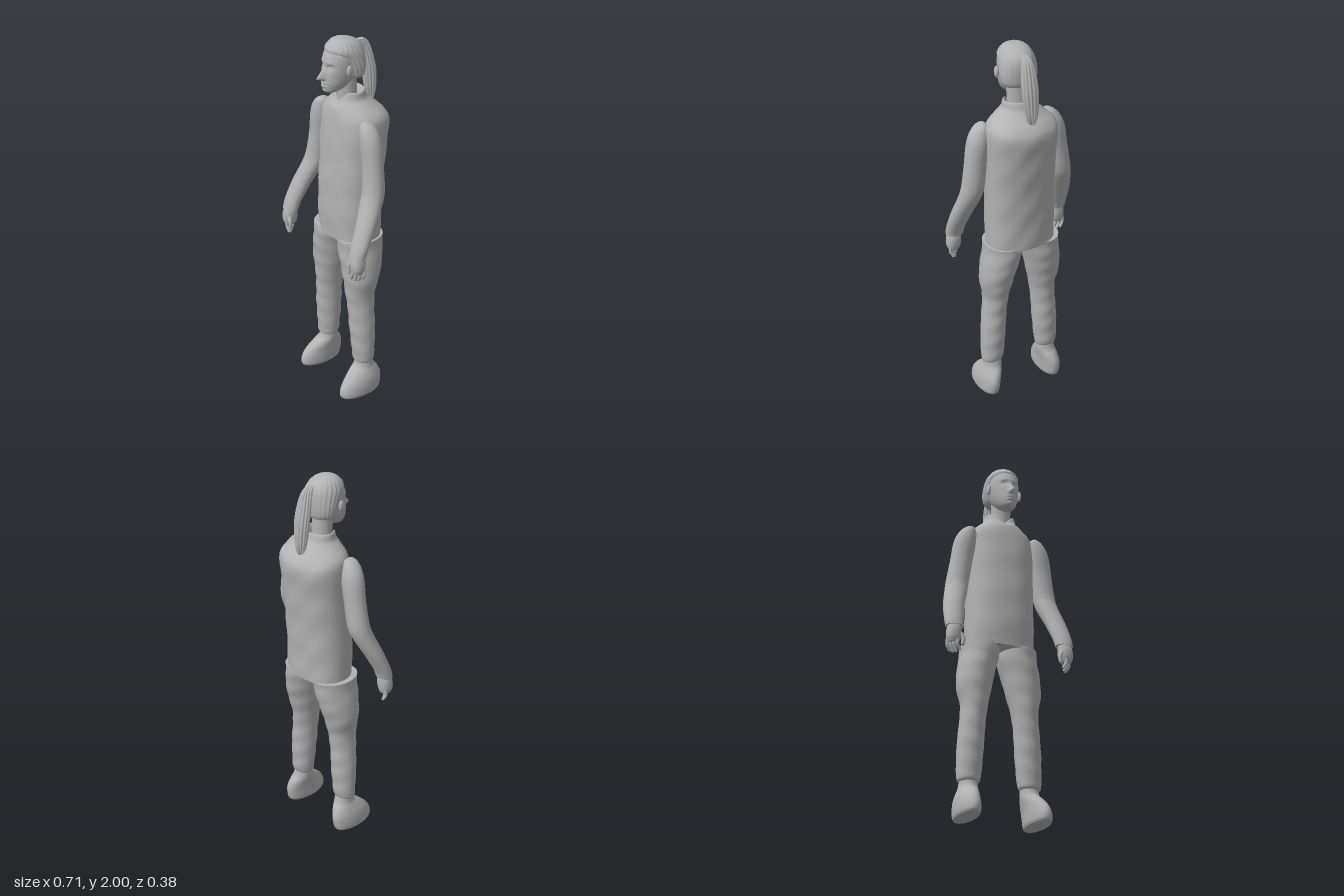
import * as THREE from 'three';

const grey = new THREE.MeshStandardMaterial({ color: 0xb2b2b2, side: THREE.DoubleSide });
grey.name = 'plain grey';

// Smooth loft through horizontal sections [y, centreX, zBack, zFront, halfWidth, squareness = 2].
// deform(vertex, angle) may move each vertex; ends are capped flat.
function loft(sections, { segs = 32, steps = 5, deform = null } = {}) {
  const rows = [];
  const n = sections.length;
  const at = (i, k) => sections[Math.min(n - 1, Math.max(0, i))][k] ?? 2;
  for (let i = 0; i < n - 1; i++) {
    for (let s = 0; s < steps + (i === n - 2 ? 1 : 0); s++) {
      const t = s / steps;
      rows.push([0, 1, 2, 3, 4, 5].map((k) => {
        const a = at(i, k), b = at(i + 1, k);
        const m0 = (b - at(i - 1, k)) / 2, m1 = (at(i + 2, k) - a) / 2;
        const t2 = t * t, t3 = t2 * t;
        return (2 * t3 - 3 * t2 + 1) * a + (t3 - 2 * t2 + t) * m0
          + (3 * t2 - 2 * t3) * b + (t3 - t2) * m1;
      }));
    }
  }
  const pos = [], idx = [];
  const power = (v, e) => Math.sign(v) * Math.abs(v) ** (2 / e);
  const ring = ([y, cx, zb, zf, rx, e]) => {
    for (let j = 0; j < segs; j++) {
      const a = (j / segs) * Math.PI * 2;
      const v = new THREE.Vector3(cx + rx * power(Math.cos(a), e), y,
        (zb + zf) / 2 + ((zf - zb) / 2) * power(Math.sin(a), e));
      if (deform) deform(v, a);
      pos.push(v.x, v.y, v.z);
    }
  };
  rows.forEach(ring);
  for (let i = 0; i < rows.length - 1; i++) {
    for (let j = 0; j < segs; j++) {
      const a = i * segs + j, b = i * segs + ((j + 1) % segs);
      idx.push(a, a + segs, b, b, a + segs, b + segs);
    }
  }
  [rows[0], rows[rows.length - 1]].forEach((row, top) => {
    const start = pos.length / 3;
    ring(row);
    pos.push(row[1], row[0], (row[2] + row[3]) / 2);
    for (let j = 0; j < segs; j++) {
      const a = start + j, b = start + ((j + 1) % segs), c = start + segs;
      if (top) idx.push(a, c, b); else idx.push(a, b, c);
    }
  });
  const g = new THREE.BufferGeometry();
  g.setAttribute('position', new THREE.Float32BufferAttribute(pos, 3));
  g.setIndex(idx);
  g.computeVertexNormals();
  return g;
}

const bell = (d, w) => Math.exp(-((d / w) ** 2));

export function createModel() {
  const model = new THREE.Group();
  const add = (name, geometry, parent = model) => {
    const m = new THREE.Mesh(geometry, grey);
    m.name = name;
    parent.add(m);
    return m;
  };

  // Long top with a notched standing collar, folded inward at the neck
  add('torso', loft([
    [0.92, 0.008, -0.15, 0.115, 0.185, 2.3],
    [1.05, 0.008, -0.155, 0.122, 0.185, 2.3],
    [1.2, 0.01, -0.162, 0.122, 0.183, 2.3],
    [1.4, 0.013, -0.18, 0.112, 0.184, 2.3],
    [1.55, 0.014, -0.195, 0.102, 0.188, 2.3],
    [1.61, 0.014, -0.175, 0.092, 0.176, 2.2],
    [1.655, 0.012, -0.13, 0.078, 0.128],
    [1.685, 0.01, -0.1, 0.064, 0.094],
    [1.72, 0.01, -0.085, 0.054, 0.085],
    [1.718, 0.01, -0.072, 0.046, 0.074],
    [1.67, 0.01, -0.055, 0.045, 0.06],
  ], {
    segs: 48,
    deform: (v) => {
      if (v.z > 0 && v.y > 1.64) v.y -= 0.7 * (v.y - 1.64) * Math.max(0, 1 - Math.abs(v.x - 0.01) / 0.055);
      v.z += 0.003 * Math.sin(v.y * 31 + v.x * 17) * Math.sin(v.x * 24 + 1);
    },
  }));

  add('neck', loft([
    [1.62, 0.01, -0.06, 0.055, 0.06],
    [1.7, 0.01, -0.048, 0.052, 0.052],
    [1.82, 0.01, -0.045, 0.06, 0.055],
  ]));

  // Head with face relief: nose, brow, eyes, lips and chin
  const cx = 0.01;
  add('head', loft([
    [1.732, cx, 0.075, 0.122, 0.02],
    [1.742, cx, 0.04, 0.134, 0.038],
    [1.77, cx, -0.01, 0.143, 0.056],
    [1.81, cx, -0.045, 0.142, 0.07],
    [1.87, cx, -0.065, 0.137, 0.08],
    [1.92, cx, -0.07, 0.128, 0.08],
    [1.96, cx, -0.055, 0.105, 0.069],
    [1.983, cx, -0.025, 0.08, 0.048],
    [1.993, cx, 0.02, 0.045, 0.012],
  ], {
    segs: 96, steps: 8,
    deform: (v) => {
      if (v.z < 0.06) return;
      const x = Math.abs(v.x - cx), y = v.y;
      v.z += 0.036 * bell(x, 0.012) * bell(y - 1.815, y > 1.815 ? 0.034 : 0.011)
        + 0.007 * bell(x, 0.02) * bell(y - 1.814, 0.01)
        - 0.013 * bell(x - 0.032, 0.018) * bell(y - 1.87, 0.014)
        + 0.006 * bell(x - 0.032, 0.01) * bell(y - 1.867, 0.007)
        + 0.004 * bell(x - 0.03, 0.025) * bell(y - 1.893, 0.009)
        + 0.009 * bell(x, 0.02) * bell(y - 1.787, 0.006)
        + 0.008 * bell(x, 0.018) * bell(y - 1.771, 0.006)
        - 0.005 * bell(x, 0.02) * bell(y - 1.779, 0.003)
        + 0.006 * bell(x, 0.02) * bell(y - 1.745, 0.01);
    },
  }));

  // Swept-back hair covering the crown and sides
  add('hair', loft([
    [1.8, cx, -0.07, 0.03, 0.075],
    [1.82, cx, -0.078, 0.038, 0.09],
    [1.86, cx, -0.083, 0.055, 0.097],
    [1.91, cx, -0.084, 0.085, 0.094],
    [1.945, cx, -0.078, 0.118, 0.086],
    [1.975, cx, -0.052, 0.1, 0.068],
    [1.993, cx, -0.012, 0.074, 0.042],
    [2.0, cx, 0.025, 0.045, 0.01],
  ], { segs: 80, deform: (v, a) => { v.x += 0.0025 * Math.sin(a * 22) * Math.cos(a); } }));

  // Bound, ridged ponytail
  add('ponytail', loft([
    [1.61, 0.005, -0.145, -0.135, 0.008],
    [1.64, 0.006, -0.16, -0.128, 0.02],
    [1.7, 0.008, -0.167, -0.114, 0.034],
    [1.8, 0.01, -0.162, -0.1, 0.042],
    [1.89, 0.01, -0.142, -0.086, 0.036],
    [1.945, 0.01, -0.122, -0.07, 0.024],
    [1.968, 0.01, -0.098, -0.05, 0.014],
  ], {
    segs: 64,
    deform: (v, a) => {
      const r = 0.003 * Math.sin(a * 13);
      v.x += r * Math.cos(a);
      v.z += r * Math.sin(a);
    },
  }));
  const tie = add('hairTie', new THREE.TorusGeometry(0.018, 0.007, 8, 20));
  tie.position.set(0.01, 1.947, -0.088);
  tie.rotation.x = 0.6;

  for (const s of [1, -1]) {
    const side = s > 0 ? 'left' : 'right';
    const mirror = (sections) => sections.map(([y, x, ...rest]) =>
      [y, s * x + 0.012 * THREE.MathUtils.smoothstep(y, 1, 1.5), ...rest]);

    const ear = add(side + 'Ear', new THREE.SphereGeometry(1, 16, 12));
    ear.scale.set(0.011, 0.03, 0.017);
    ear.position.set(cx + s * 0.09, 1.855, 0.048);

    // Sleeve, bent forward at the elbow
    add(side + 'Sleeve', loft(mirror([
      [0.95, 0.306, 0.105, 0.183, 0.048],
      [1.0, 0.304, 0.086, 0.17, 0.051],
      [1.1, 0.289, 0.032, 0.132, 0.056],
      [1.2, 0.264, -0.02, 0.092, 0.06],
      [1.27, 0.251, -0.04, 0.07, 0.061],
      [1.4, 0.232, -0.042, 0.062, 0.06],
      [1.5, 0.217, -0.045, 0.066, 0.061],
      [1.56, 0.205, -0.036, 0.064, 0.053],
      [1.6, 0.192, -0.018, 0.054, 0.034],
      [1.617, 0.186, 0.005, 0.035, 0.01],
    ])));

    // Hand with curled fingers
    const hand = new THREE.Group();
    hand.name = side + 'Hand';
    model.add(hand);
    add('palm', loft(mirror([
      [0.858, 0.313, 0.12, 0.176, 0.027, 2.4],
      [0.885, 0.312, 0.112, 0.184, 0.037, 2.4],
      [0.925, 0.31, 0.108, 0.184, 0.038, 2.3],
      [0.97, 0.306, 0.112, 0.174, 0.032],
    ])), hand);
    const digit = (name, points, r) => {
      const curve = new THREE.CatmullRomCurve3(points.map(([x, y, z]) => new THREE.Vector3(s * x, y, z)));
      add(name, new THREE.TubeGeometry(curve, 10, r, 10), hand);
      const tip = add(name + 'Tip', new THREE.SphereGeometry(r, 10, 8), hand);
      tip.position.copy(curve.getPoint(1));
    };
    for (let k = 0; k < 4; k++) {
      const x = 0.336 - 0.012 * k, z = 0.126 + 0.015 * k;
      const end = 0.812 + [0.012, 0.002, 0, 0.01][k];
      digit('finger' + (k + 1), [[x, 0.885, z], [x + 0.002, 0.848, z + 0.002], [x - 0.012, end, z - 0.002]], 0.0085);
    }
    digit('thumb', [[0.288, 0.915, 0.165], [0.27, 0.885, 0.173], [0.272, 0.85, 0.172]], 0.0105);

    // Trouser leg
    add(side + 'TrouserLeg', loft(mirror([
      [0.19, 0.166, -0.042, 0.05, 0.052],
      [0.21, 0.165, -0.052, 0.06, 0.061],
      [0.3, 0.161, -0.06, 0.067, 0.066],
      [0.4, 0.156, -0.064, 0.075, 0.068],
      [0.5, 0.149, -0.065, 0.08, 0.066],
      [0.6, 0.14, -0.075, 0.09, 0.069],
      [0.7, 0.138, -0.1, 0.1, 0.089],
      [0.8, 0.124, -0.126, 0.109, 0.096],
      [0.88, 0.107, -0.138, 0.113, 0.1],
      [0.93, 0.105, -0.143, 0.113, 0.101],
    ]), { deform: (v) => { v.z += 0.002 * Math.sin(v.y * 60 + v.x * 20); } }));

    // Soft rounded shoe with a flat sole
    add(side + 'Shoe', loft(mirror([
      [0, 0.189, -0.072, 0.158, 0.05, 2.1],
      [0.015, 0.189, -0.082, 0.167, 0.055, 2.1],
      [0.05, 0.188, -0.09, 0.164, 0.057],
      [0.09, 0.184, -0.09, 0.14, 0.056],
      [0.13, 0.174, -0.075, 0.098, 0.053],
      [0.165, 0.166, -0.052, 0.056, 0.049],
      [0.22, 0.165, -0.042, 0.045, 0.046],
    ])));
  }
  return model;
}
